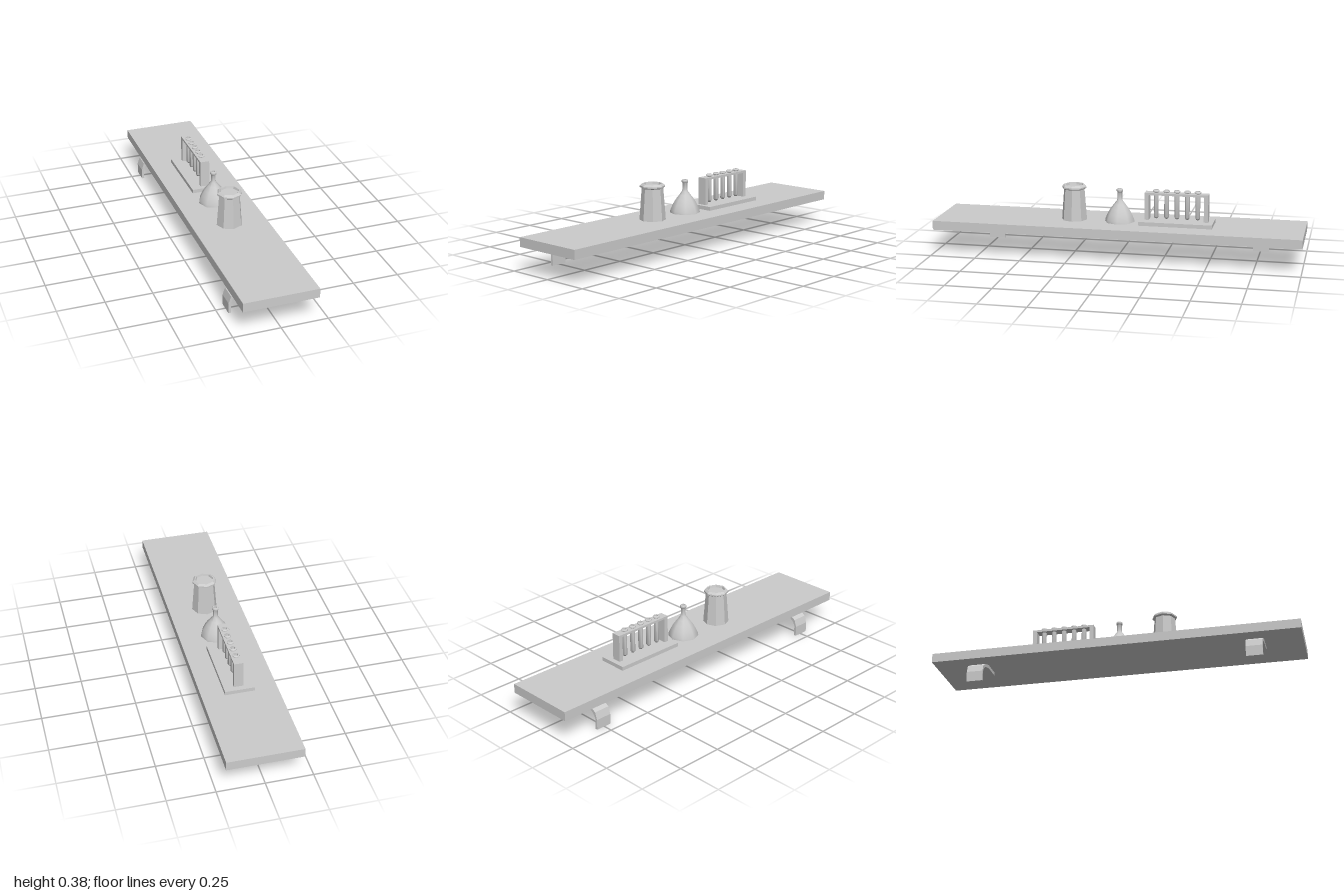
import * as THREE from 'three';
import { toCreasedNormals } from 'three/addons/utils/BufferGeometryUtils.js';

const SHELF_TOP = 0.183;
const flat = new THREE.MeshStandardMaterial({ color: 0xcccccc, flatShading: true });
const smooth = new THREE.MeshStandardMaterial({ color: 0xcccccc });

function box(name, [x0, x1], [y0, y1], [z0, z1]) {
  const mesh = new THREE.Mesh(new THREE.BoxGeometry(x1 - x0, y1 - y0, z1 - z0), flat);
  mesh.position.set((x0 + x1) / 2, (y0 + y1) / 2, (z0 + z1) / 2);
  mesh.name = name;
  return mesh;
}

// Eight-sided turned part; profile is [radius, height] from bottom to top
function turned(name, profile, z, faceted) {
  let geo = new THREE.LatheGeometry(profile.map(([r, y]) => new THREE.Vector2(r, y)), 8);
  if (!faceted) geo = toCreasedNormals(geo, 0.9);
  const mesh = new THREE.Mesh(geo, faceted ? flat : smooth);
  mesh.position.z = z;
  mesh.name = name;
  return mesh;
}

export function createModel() {
  const model = new THREE.Group();
  model.name = 'laboratoryShelf';

  model.add(box('shelfBoard', [-0.2, 0.2], [0.133, SHELF_TOP], [-1, 1]));

  // Curved brackets under the board
  const outline = new THREE.Shape([
    [0.005, 0.133], [-0.098, 0.133], [-0.15, 0.117], [-0.186, 0.095], [-0.199, 0.056], [-0.199, 0],
    [-0.186, 0], [-0.186, 0.06], [-0.173, 0.083], [-0.148, 0.1], [-0.095, 0.115], [0.005, 0.115],
  ].map(([x, y]) => new THREE.Vector2(x, y)));
  const bracketGeo = new THREE.ExtrudeGeometry(outline, { depth: 0.088, bevelEnabled: false });
  bracketGeo.translate(0, 0, -0.044);
  for (const [name, z] of [['frontBracket', 0.753], ['backBracket', -0.753]]) {
    const bracket = new THREE.Mesh(bracketGeo, flat);
    bracket.position.z = z;
    bracket.name = name;
    model.add(bracket);
  }

  // Faceted jar with a rolled rim and a shallow recess
  model.add(turned('jar', [
    [0, 0.183], [0.07, 0.183], [0.057, 0.353], [0.067, 0.359], [0.067, 0.367],
    [0.056, 0.377], [0.05, 0.377], [0.047, 0.365], [0, 0.365],
  ], 0.253, true));

  // Conical flask with a narrow neck and lip
  model.add(turned('flask', [
    [0, 0.183], [0.082, 0.183], [0.079, 0.198], [0.067, 0.226], [0.051, 0.254], [0.031, 0.28],
    [0.016, 0.3], [0.013, 0.312], [0.013, 0.345], [0.018, 0.35], [0.018, 0.359],
    [0.015, 0.363], [0.01, 0.363], [0.009, 0.335], [0, 0.335],
  ], 0, false));

  // Test tube rack: foot, two posts and a top rail
  const rack = new THREE.Group();
  rack.name = 'testTubeRack';
  const wide = [-0.025, 0.025];
  rack.add(
    box('rackBase', [-0.079, 0.079], [SHELF_TOP, 0.204], [-0.513, -0.116]),
    box('rackFrontPost', wide, [0.204, 0.341], [-0.163, -0.14]),
    box('rackBackPost', wide, [0.204, 0.341], [-0.485, -0.462]),
    box('rackRail', wide, [0.341, 0.353], [-0.485, -0.14]),
  );

  // Five round-bottomed tubes hanging through the rail
  for (let i = 0; i < 5; i++) {
    rack.add(turned('testTube', [
      [0, 0.208], [0.008, 0.211], [0.013, 0.219], [0.013, 0.355], [0.018, 0.358],
      [0.018, 0.364], [0.015, 0.367], [0.011, 0.367], [0.01, 0.355], [0, 0.355],
    ], -0.2 - i * 0.0565, false));
  }
  model.add(rack);

  return model;
}
